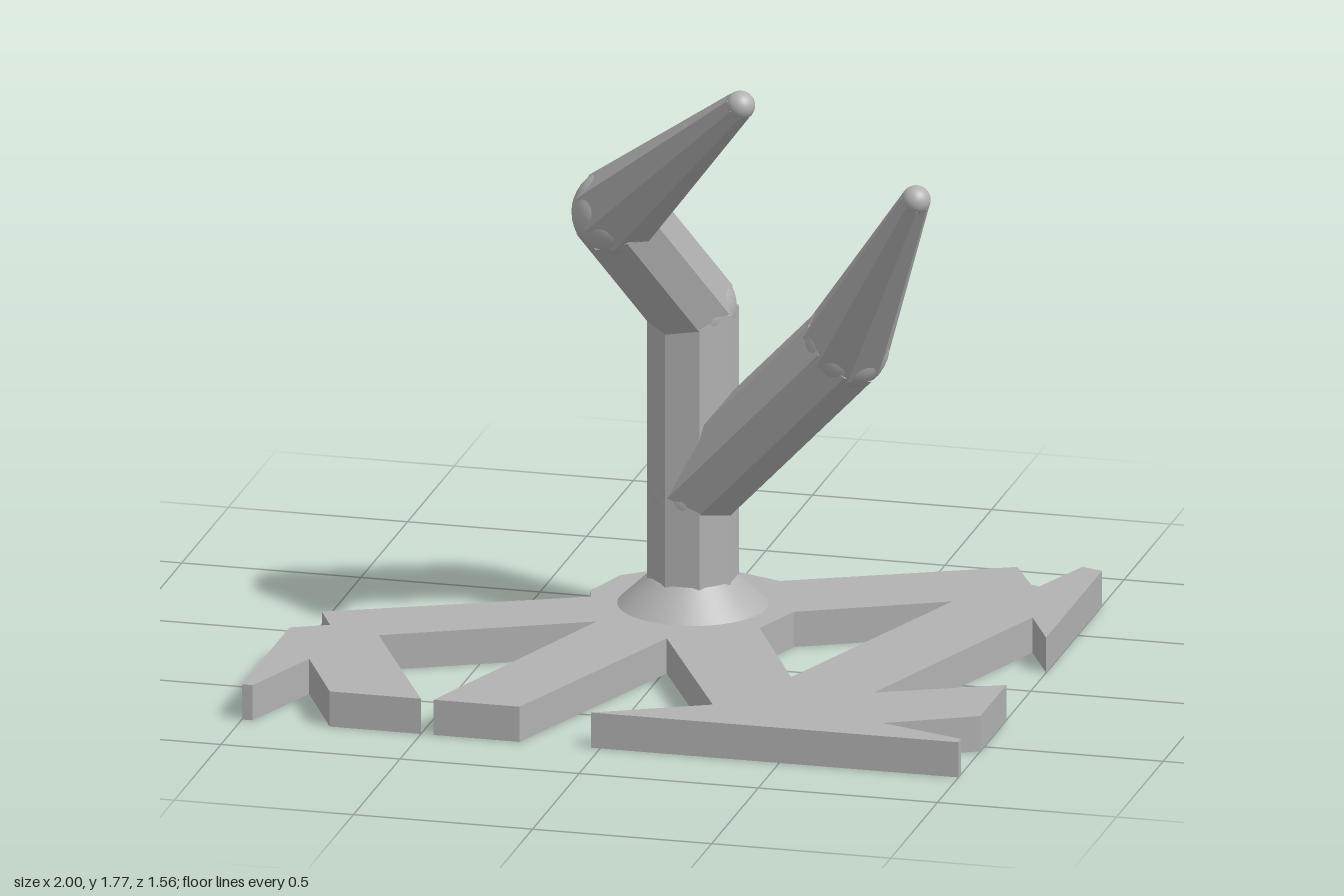
import * as THREE from 'three';

export function createModel() {
  const model = new THREE.Group();
  const grey = new THREE.MeshStandardMaterial({ color: 0xb2b2b2 });
  grey.name = 'plain grey';
  const add = (geometry, name, parent = model) => {
    const mesh = new THREE.Mesh(geometry, grey);
    mesh.name = name;
    parent.add(mesh);
    return mesh;
  };

  const vec = (pts) => pts.map(([x, z]) => new THREE.Vector2(x, z));

  // Flat branching base: outline in x, z, with one enclosed opening
  const outline = new THREE.Shape(vec([
    // rim behind the stem
    [0.18, -0.46], [0.02, -0.52], [-0.13, -0.5], [-0.25, -0.4], [-0.295, -0.25], [-0.28, -0.2],
    // left branch
    [-0.95, 0.11], [-0.9, 0.215], [-1, 0.265], [-1, 0.775], [-0.97, 0.775], [-0.88, 0.515],
    [-0.755, 0.775], [-0.5, 0.775], [-0.75, 0.27], [-0.21, 0.005],
    // front branch
    [-0.465, 0.775], [-0.225, 0.775], [0.01, 0.1],
    // front left branch with its cross piece
    [0.275, 0.625], [-0.025, 0.775], [1, 0.775], [1, 0.745], [0.76, 0.665], [1, 0.54],
    [1, 0.26], [0.67, 0.415], [0.92, -0.325], [1, -0.165],
    // rear left branch
    [1, -0.765], [0.94, -0.785], [0.87, -0.59], [0.845, -0.6], [0.77, -0.74],
  ]));
  outline.holes.push(new THREE.Path(vec([
    [0.675, -0.405], [0.42, 0.34], [0.23, -0.05], [0.285, -0.21],
  ])));
  const plate = new THREE.ExtrudeGeometry(outline, { depth: 0.1, bevelEnabled: false });
  plate.rotateX(Math.PI / 2).translate(0, 0.1, 0);
  add(plate, 'basePlate');

  // Smooth collar where the stem meets the plate
  const collar = add(new THREE.CylinderGeometry(0.12, 0.205, 0.08, 48), 'stemCollar');
  collar.position.set(0, 0.14, -0.22);

  // Faceted eight-sided rod between two points
  const up = new THREE.Vector3(0, 1, 0);
  const rod = (a, b, ra, rb, name, parent) => {
    const dir = b.clone().sub(a);
    const geometry = new THREE.CylinderGeometry(rb, ra, dir.length(), 8).toNonIndexed();
    geometry.rotateY(Math.PI / 8);
    geometry.computeVertexNormals();
    const mesh = add(geometry, name, parent);
    mesh.position.copy(a).add(b).multiplyScalar(0.5);
    mesh.quaternion.setFromUnitVectors(up, dir.normalize());
  };
  const ball = (p, r, name, parent) =>
    add(new THREE.SphereGeometry(r, 32, 20), name, parent).position.copy(p);

  // Arm: straight rod, elbow, then a tapering rod with a rounded tip
  const arm = (start, elbow, tip, name) => {
    const group = new THREE.Group();
    group.name = name;
    model.add(group);
    rod(start, elbow, 0.124, 0.124, 'lowerRod', group);
    rod(elbow, tip, 0.124, 0.041, 'taperedRod', group);
    ball(start, 0.119, 'rootJoint', group);
    ball(elbow, 0.12, 'elbowJoint', group);
    ball(tip, 0.04, 'roundedTip', group);
  };

  const V = (x, y, z) => new THREE.Vector3(x, y, z);
  rod(V(0, 0.1, -0.22), V(0, 0.94, -0.22), 0.126, 0.126, 'stem', model);
  arm(V(0, 0.94, -0.22), V(-0.14, 1.29, 0.07), V(0.295, 1.735, 0.405), 'upperArm');
  arm(V(0, 0.42, -0.22), V(0.467, 0.92, -0.06), V(0.757, 1.47, 0.297), 'sideArm');

  return model;
}
